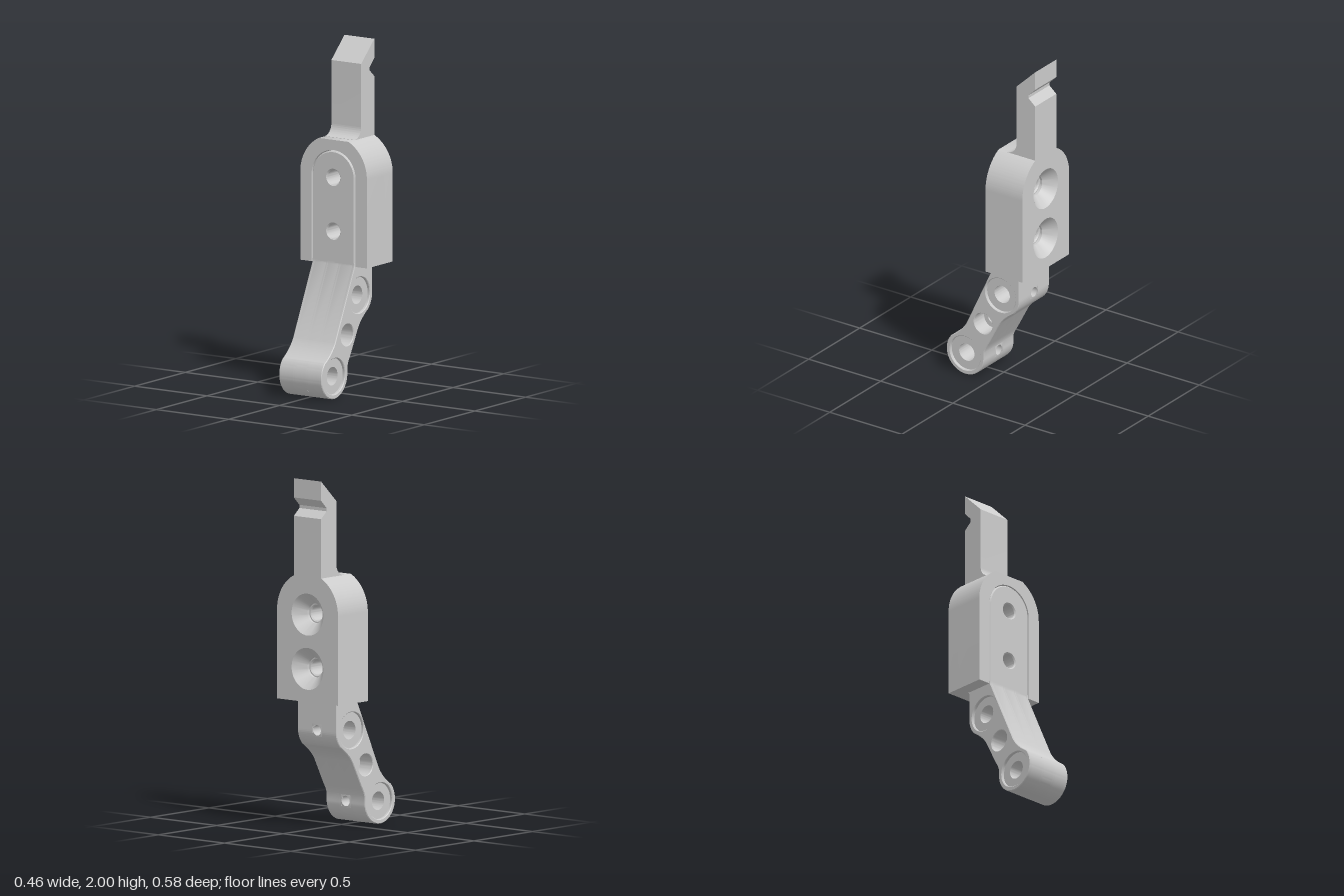
import * as THREE from 'three';
import { toCreasedNormals } from 'three/addons/utils/BufferGeometryUtils.js';

const R = 0.13, BORE = 0.053, NOTCH = 0.036;
const UPPER = [-0.08, 0.56], MIDDLE = [0.04, 0.35], LOWER = [0.165, 0.13]; // pivot centres as (z, y)
const SCREW_Y = [0.92, 1.23];

const circle = (a, b, r) => new THREE.Path().absarc(a, b, r, 0, Math.PI * 2, false);

export function createModel() {
  const model = new THREE.Group();
  const mat = new THREE.MeshStandardMaterial({ color: 0xcccccc });
  const thin = new THREE.MeshStandardMaterial({ color: 0xcccccc, side: THREE.DoubleSide });

  function add(name, geo, material = mat) {
    const mesh = new THREE.Mesh(geo, material);
    mesh.name = name;
    model.add(mesh);
    return mesh;
  }

  // Extrude from lo to hi along z, with an optional chamfer kept inside the outline
  function extrude(shape, lo, hi, bevel = 0) {
    const geo = new THREE.ExtrudeGeometry(shape, {
      depth: hi - lo - 2 * bevel, curveSegments: 28, bevelEnabled: bevel > 0,
      bevelSize: bevel, bevelThickness: bevel, bevelOffset: -bevel, bevelSegments: 1,
    });
    geo.translate(0, 0, lo + bevel);
    return toCreasedNormals(geo, 0.5);
  }
  // Same, but for a (z, y) profile extruded along x
  const extrudeX = (shape, lo, hi, bevel) => extrude(shape, lo, hi, bevel).rotateY(-Math.PI / 2);

  // ---- Body: arched block with a U-shaped pocket open at the front and bottom
  function bodyOutline() {
    const s = new THREE.Shape();
    s.moveTo(0.23, 0.73);
    s.lineTo(0.23, 1.24);
    s.absarc(0, 1.24, 0.23, 0, 1.106, false);
    s.absarc(0, 1.24, 0.23, Math.PI - 1.106, Math.PI, false);
    s.lineTo(-0.23, 0.73);
    return s;
  }
  const frame = bodyOutline();
  frame.lineTo(-0.152, 0.73);
  frame.lineTo(-0.152, 1.235);
  frame.absarc(0, 1.235, 0.152, Math.PI, 0, true);
  frame.lineTo(0.152, 0.73);
  add('bodyFrame', extrude(frame, -0.21, -0.035));

  const plate = bodyOutline();
  SCREW_Y.forEach((y) => plate.holes.push(circle(0, y, 0.12)));
  add('bodyBackPlate', extrude(plate, -0.29, -0.21));

  // Countersinks in the back plate
  const sink = [[0.12, -0.29], [0.057, -0.225], [0.057, -0.208]].map((p) => new THREE.Vector2(...p));
  SCREW_Y.forEach((y) => {
    const geo = toCreasedNormals(new THREE.LatheGeometry(sink, 40).rotateX(Math.PI / 2), 0.5);
    add('countersink', geo, thin).position.y = y;
  });

  // ---- Tongue with slanted tip and a notch in its back
  const tongue = new THREE.Shape();
  tongue.moveTo(-0.29, 1.44);
  tongue.lineTo(-0.095, 1.44);
  tongue.lineTo(-0.095, 1.447);
  tongue.absarc(-0.095, 1.512, 0.065, Math.PI * 1.5, Math.PI, true);
  [[-0.16, 1.875], [-0.29, 2], [-0.29, 1.89], [-0.243, 1.843], [-0.243, 1.825], [-0.29, 1.785]]
    .forEach((p) => tongue.lineTo(...p));
  add('tongue', extrudeX(tongue, -0.103, 0.103));

  // ---- Link, upper half: rounded tab seated in the pocket
  const tab = new THREE.Shape();
  tab.moveTo(-0.147, 0.732);
  tab.lineTo(0.147, 0.732);
  tab.lineTo(0.147, 1.235);
  tab.absarc(0, 1.235, 0.147, 0, Math.PI, false);
  SCREW_Y.forEach((y) => tab.holes.push(circle(0, y, 0.043)));
  add('linkTab', extrude(tab, -0.21, -0.033, 0.007));

  // ---- Link, lower half: bent bar with two lugs, stacked in slices across x
  const half = Math.asin(NOTCH / BORE), out = Math.asin(NOTCH / R);
  // Detour of the outline from the back surface around a pivot bore
  function detour(s, [z, y]) {
    s.lineTo(z - R, y + NOTCH);
    s.absarc(z, y, BORE, Math.PI - half, -Math.PI + half, true);
  }
  function linkProfile(radii, notched = false) {
    const s = new THREE.Shape();
    const start = Math.PI + (notched ? out : 0);
    s.moveTo(-0.033, 0.75);
    s.lineTo(-0.21, 0.75);
    if (notched) detour(s, UPPER);
    s.absarc(...UPPER, R, start, 3.95, false);
    s.quadraticCurveTo(-0.1, 0.42, -0.07, 0.372);
    s.lineTo(0.005, 0.229);
    s.quadraticCurveTo(0.03, 0.19, 0.035, 0.166);
    if (notched) detour(s, LOWER);
    s.absarc(...LOWER, R, start, Math.PI * 2 + 0.75, false);
    s.quadraticCurveTo(0.19, 0.262, 0.155, 0.325);
    s.lineTo(-0.033, 0.73);
    const centres = notched ? [MIDDLE] : [MIDDLE, UPPER, LOWER];
    centres.forEach((c, i) => s.holes.push(circle(...c, radii[i])));
    return s;
  }
  add('linkCore', extrudeX(linkProfile([0.034], true), -NOTCH, NOTCH));
  const slices = [
    ['linkInnerSlice', [0.034, BORE, BORE], NOTCH, 0.05, 0],
    ['linkMiddleSlice', [0.062, BORE, BORE], 0.05, 0.13, 0],
    ['linkOuterSlice', [0.062, 0.104, 0.104], 0.126, 0.147, 0.004],
  ];
  for (const [name, radii, lo, hi, bevel] of slices) {
    const profile = linkProfile(radii);
    add(name, extrudeX(profile, lo, hi, bevel));
    add(name, extrudeX(profile, -hi, -lo, bevel));
  }

  // Small round holes from the back of each lug into its bore
  for (const [z, y] of [UPPER, LOWER]) {
    const n = NOTCH;
    const s = new THREE.Shape([[-n, -n], [n, -n], [n, n], [-n, n]].map((p) => new THREE.Vector2(...p)));
    s.holes.push(circle(0, 0, 0.03));
    const patch = new THREE.ShapeGeometry(s, 24);
    const pos = patch.attributes.position;
    for (let i = 0; i < pos.count; i++) {
      const dy = Math.min(0, pos.getY(i)); // follow the lug's round lower side
      pos.setZ(i, -Math.sqrt(R * R - dy * dy));
    }
    patch.computeVertexNormals();
    add('lubeHoleRim', patch, thin).position.set(0, y, z);
    const wall = new THREE.CylinderGeometry(0.03, 0.03, 0.083, 24, 1, true).rotateX(Math.PI / 2);
    add('lubeHoleWall', wall, thin).position.set(0, y, z - 0.086);
  }

  return model;
}
